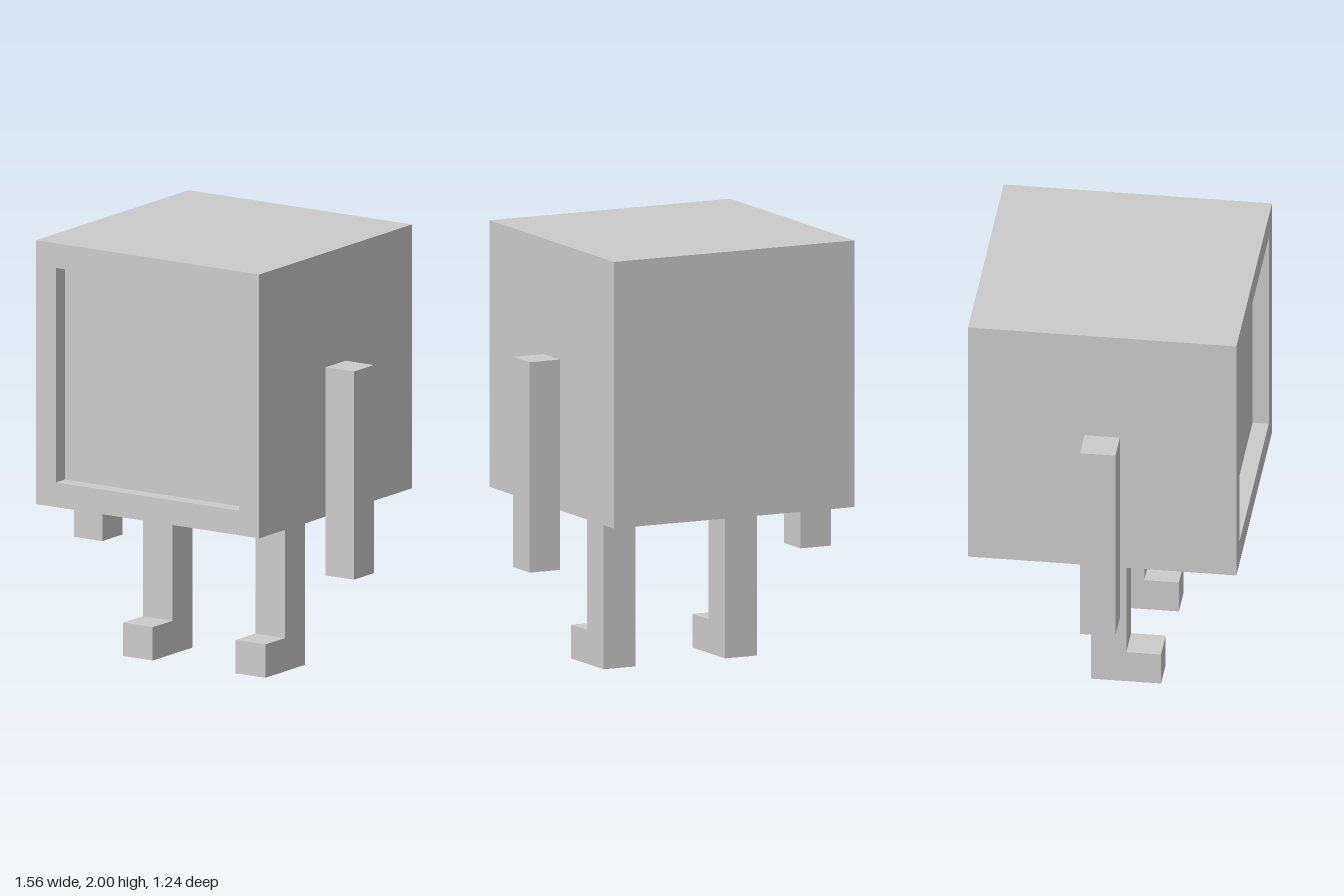
import * as THREE from 'three';

const material = new THREE.MeshStandardMaterial({ color: 0xcccccc, flatShading: true });

function addMesh(parent, name, geometry, x = 0, y = 0, z = 0) {
  const mesh = new THREE.Mesh(geometry, material);
  mesh.name = name;
  mesh.position.set(x, y, z);
  parent.add(mesh);
}

const polygon = (points) => points.map(([x, y]) => new THREE.Vector2(x, y));
const rectangle = (w, h) => polygon([[-w / 2, -h / 2], [w / 2, -h / 2], [w / 2, h / 2], [-w / 2, h / 2]]);

export function createModel() {
  const model = new THREE.Group();
  model.name = 'boxRobot';

  const size = 1.242, recess = 0.075, centreY = 2 - size / 2;

  // Cubic body: solid block with a frame around the sunken front panel
  const body = new THREE.Group();
  body.name = 'body';
  model.add(body);
  addMesh(body, 'bodyBlock', new THREE.BoxGeometry(size, size, size - recess), 0, centreY, -recess / 2);

  const frame = new THREE.Shape(rectangle(size, size));
  frame.holes.push(new THREE.Path(rectangle(1.02, 1.01).reverse()));
  const frameGeometry = new THREE.ExtrudeGeometry(frame, { depth: recess, bevelEnabled: false });
  addMesh(body, 'frontFrame', frameGeometry, 0, centreY, size / 2 - recess);

  // L-shaped leg profile in z and y, foot pointing forward
  const legProfile = new THREE.Shape(polygon([
    [-0.082, 0], [0.242, 0], [0.242, 0.157], [0.082, 0.157], [0.082, 0.758], [-0.082, 0.758],
  ]));
  const legWidth = 0.165;
  const legGeometry = new THREE.ExtrudeGeometry(legProfile, { depth: legWidth, bevelEnabled: false })
    .translate(0, 0, -legWidth / 2)
    .rotateY(-Math.PI / 2);
  const armGeometry = new THREE.BoxGeometry(0.157, 0.98, 0.163);

  // Mirrored arms and legs
  for (const [side, sign] of [['left', 1], ['right', -1]]) {
    addMesh(model, `${side}Arm`, armGeometry, sign * 0.6995, 0.971, 0);
    addMesh(model, `${side}Leg`, legGeometry, sign * 0.313, 0, 0);
  }
  return model;
}
